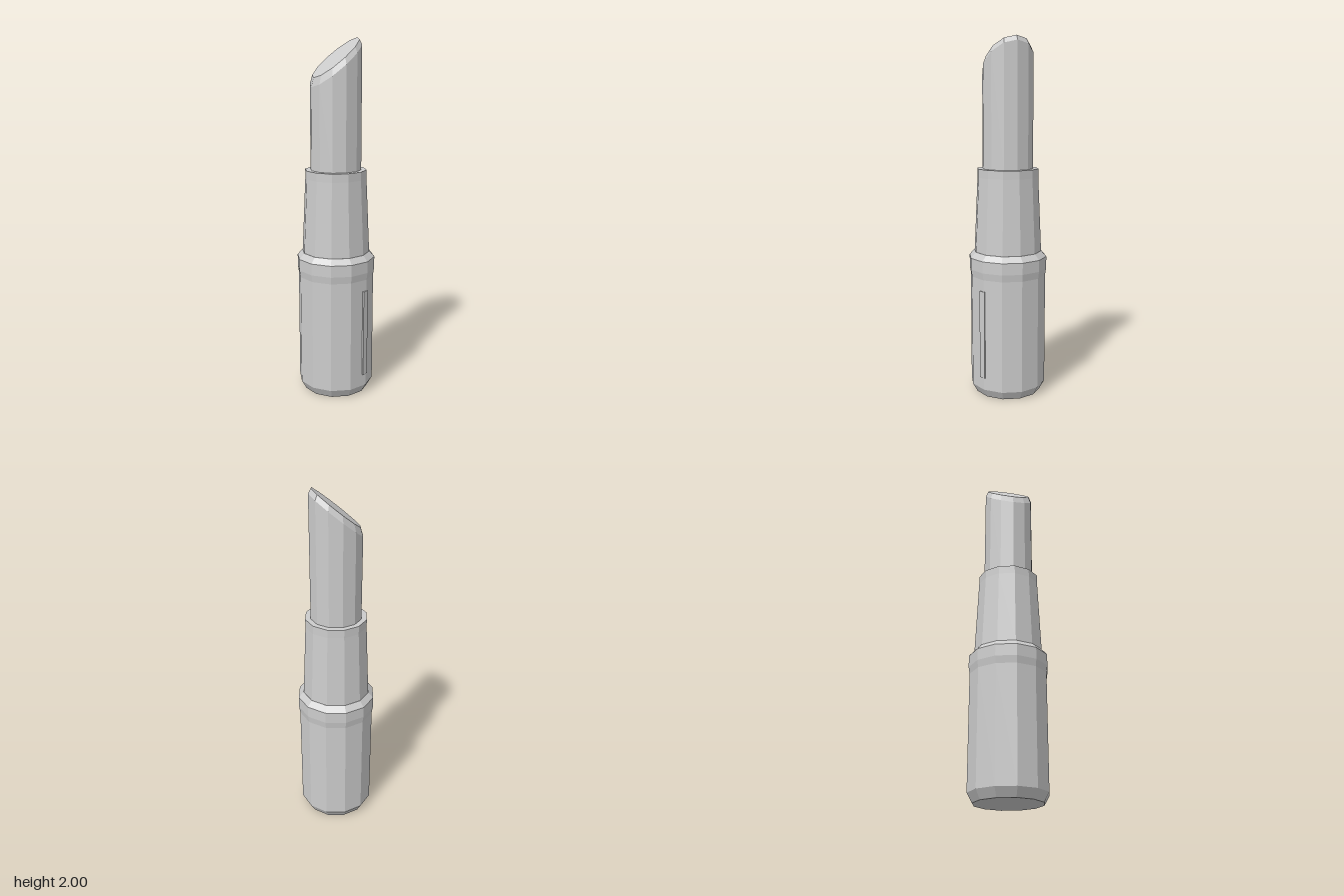
import * as THREE from 'three';

const SIDES = 12;

export function createModel() {
  const model = new THREE.Group();
  const grey = new THREE.MeshStandardMaterial({ color: 0xcccccc, flatShading: true });
  grey.name = 'plain grey';

  function add(name, geometry) {
    const mesh = new THREE.Mesh(geometry, grey);
    mesh.name = name;
    model.add(mesh);
    return mesh;
  }

  // Twelve-sided turned part from [radius, height] pairs, bottom to top
  const turned = (profile) =>
    new THREE.LatheGeometry(profile.map(([r, y]) => new THREE.Vector2(r, y)), SIDES);

  // Base tube with chamfered foot and a slightly wider bevelled collar
  add('base', turned([[0, 0], [0.187, 0], [0.215, 0.05], [0.215, 0.685]]));
  add('collar', turned([[0.215, 0.685], [0.221, 0.725], [0.221, 0.79], [0.192, 0.822], [0.18, 0.822]]));

  // Tapered inner sleeve with a flat rim
  add('sleeve', turned([[0.191, 0.82], [0.172, 1.24], [0.172, 1.287], [0.14, 1.287]]));

  // Bullet: a turned stick whose tip is sheared into a slanted, bevelled cut
  const bullet = turned([[0.142, 1.28], [0.142, 1.856], [0.128, 1.893], [0, 1.893]]);
  const p = bullet.attributes.position;
  for (let i = 0; i < p.count; i++) {
    if (p.getY(i) > 1.5) p.setY(i, p.getY(i) + 0.83 * p.getX(i));
  }
  bullet.computeVertexNormals();
  add('bullet', bullet);

  // Narrow upright strip on the base
  const strip = add('strip', new THREE.BoxGeometry(0.036, 0.5, 0.009));
  const angle = THREE.MathUtils.degToRad(27.5);
  strip.position.set(Math.sin(angle) * 0.2135, 0.37, Math.cos(angle) * 0.2135);
  strip.rotation.y = angle;

  return model;
}
